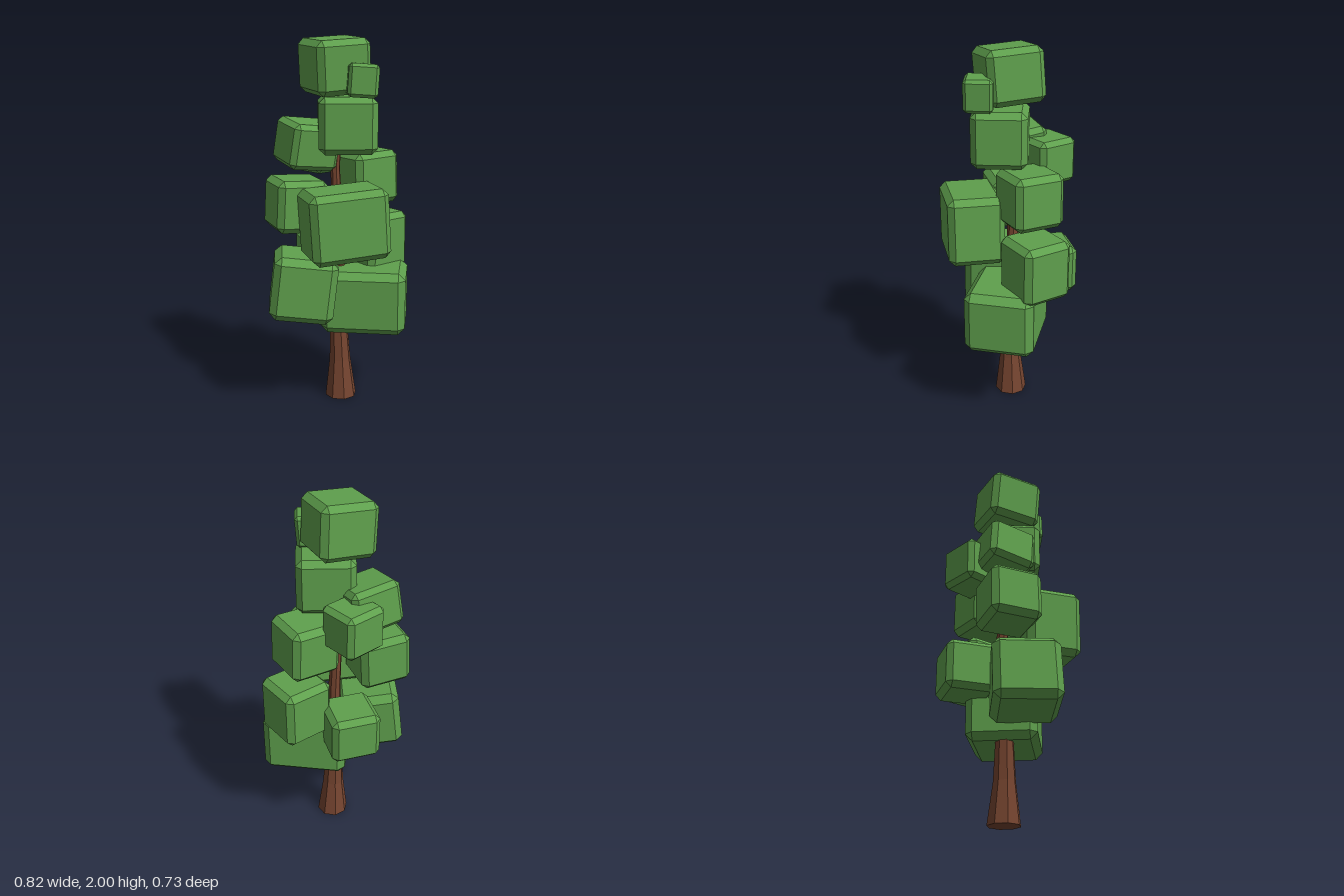
import * as THREE from 'three';
import { ConvexGeometry } from 'three/addons/geometries/ConvexGeometry.js';

const leafGreen = new THREE.MeshStandardMaterial({ name: 'leafGreen', color: 0x5fa04d });
const barkBrown = new THREE.MeshStandardMaterial({ name: 'barkBrown', color: 0x764530, flatShading: true });

// Box with all edges and corners cut flat
function chamferBox(w, h, d) {
  const b = 0.11 * Math.min(w, h, d);
  const points = [];
  for (const sx of [-1, 1]) for (const sy of [-1, 1]) for (const sz of [-1, 1]) {
    const x = w / 2, y = h / 2, z = d / 2;
    points.push(
      new THREE.Vector3(sx * x, sy * (y - b), sz * (z - b)),
      new THREE.Vector3(sx * (x - b), sy * y, sz * (z - b)),
      new THREE.Vector3(sx * (x - b), sy * (y - b), sz * z));
  }
  return new ConvexGeometry(points);
}

// Trunk rings: height, radius, centre x, centre z
const rings = [
  [0, 0.088, 0.015, -0.004],
  [0.22, 0.06, 0.01, -0.002],
  [0.43, 0.049, 0.003, -0.004],
  [0.9, 0.034, 0.005, -0.015],
  [1.3, 0.026, -0.012, -0.022],
  [1.6, 0.02, 0, 0],
];

function makeTrunk() {
  const steps = rings.length - 1;
  const geo = new THREE.CylinderGeometry(1, 1, steps, 8, steps);
  const p = geo.attributes.position;
  for (let i = 0; i < p.count; i++) {
    const [y, r, cx, cz] = rings[Math.round(p.getY(i) + steps / 2)];
    p.setXYZ(i, cx + p.getX(i) * r, y, cz + p.getZ(i) * r);
  }
  geo.computeVertexNormals();
  const trunk = new THREE.Mesh(geo, barkBrown);
  trunk.name = 'trunk';
  return trunk;
}

// Leaf blocks: name, centre, size, turn about y, tilt about x, tilt about z (degrees)
const blocks = [
  ['crownBlock', [-0.022, 1.85, 0.003], [0.3, 0.28, 0.3], 12, 4, 3],
  ['crownTuft', [0.087, 1.78, 0.165], [0.155, 0.168, 0.15], -10, 0, -4],
  ['upperBlock', [0.035, 1.55, 0.052], [0.305, 0.295, 0.29], -10.5, 0, 0],
  ['upperLeftBlock', [-0.16, 1.44, -0.055], [0.275, 0.24, 0.265], 15, 5, -8],
  ['upperBackBlock', [-0.05, 1.39, -0.2], [0.24, 0.24, 0.23], 29, 0, 0],
  ['upperRightBlock', [0.172, 1.25, -0.08], [0.275, 0.285, 0.275], 20, 0, 2],
  ['middleLeftBlock', [-0.225, 1.12, -0.04], [0.28, 0.28, 0.28], 9, 0, -3],
  ['middleFrontBlock', [-0.018, 1.055, 0.205], [0.42, 0.365, 0.3], 4, 0, 3.5],
  ['middleRightBlock', [0.232, 0.885, -0.105], [0.28, 0.32, 0.28], 25, 0, 0],
  ['lowerBackBlock', [-0.036, 0.775, -0.22], [0.265, 0.265, 0.27], 5, 0, 0],
  ['lowerLeftBlock', [-0.208, 0.69, 0.05], [0.34, 0.345, 0.35], -9, 0, -7],
  ['lowerFrontBlock', [0.145, 0.597, 0.035], [0.455, 0.345, 0.375], -20, 0, 0],
];

export function createModel() {
  const tree = new THREE.Group();
  tree.name = 'tree';
  tree.add(makeTrunk());

  const rad = THREE.MathUtils.degToRad;
  for (const [name, centre, size, turn, tiltX, tiltZ] of blocks) {
    const block = new THREE.Mesh(chamferBox(...size), leafGreen);
    block.name = name;
    block.position.set(...centre);
    block.rotation.set(rad(tiltX), rad(turn), rad(tiltZ), 'XZY');
    tree.add(block);
  }
  return tree;
}
